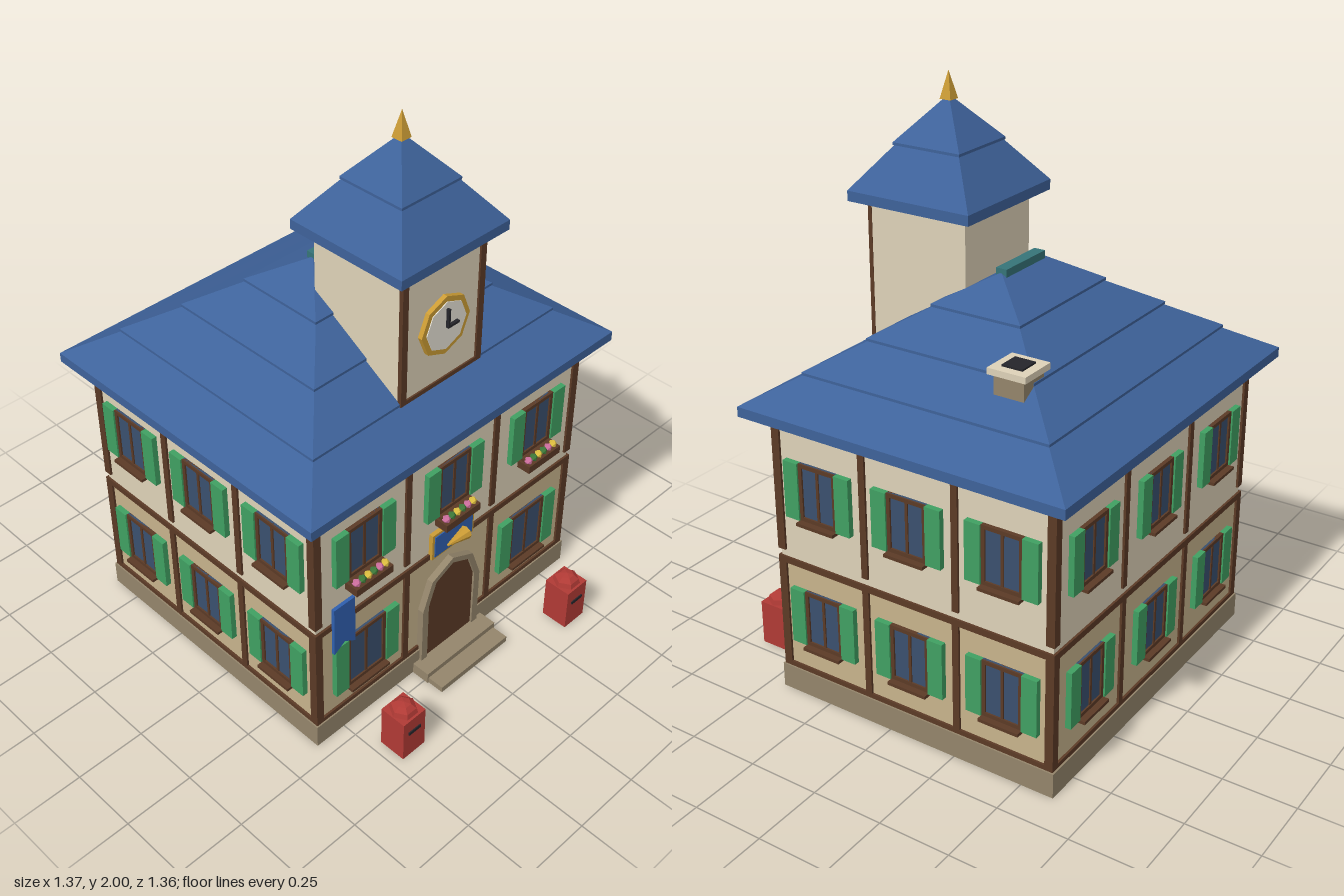
import * as THREE from 'three';

const mat = (color) => new THREE.MeshStandardMaterial({ color, flatShading: true });
const M = {
  upper: mat(0xded2b8), lower: mat(0xc7b38c), stone: mat(0x94856b), timber: mat(0x5b3a26),
  roof: mat(0x3e629a), ridge: mat(0x367478), green: mat(0x40a062), glass: mat(0x3a506e),
  gold: mat(0xcc9c35), white: mat(0xe6e2d6), dark: mat(0x25252a), red: mat(0xb03a35),
  blue: mat(0x2f5fae), pink: mat(0xd070a0), yellow: mat(0xe0c040), leaf: mat(0x3f7a3a),
};
M.stone.side = M.red.side = THREE.DoubleSide; // used for boxes open at the bottom
const CZ = -0.085; // depth centre of the house

function add(parent, name, geo, material, x = 0, y = 0, z = 0) {
  const mesh = new THREE.Mesh(geo, material);
  mesh.name = name;
  mesh.position.set(x, y, z);
  parent.add(mesh);
  return mesh;
}

function group(parent, name, x = 0, y = 0, z = 0) {
  const g = new THREE.Group();
  g.name = name;
  g.position.set(x, y, z);
  parent.add(g);
  return g;
}

// Box given by its [min, max] range on each axis
function box(parent, name, material, [x0, x1], [y0, y1], [z0, z1]) {
  return add(parent, name, new THREE.BoxGeometry(x1 - x0, y1 - y0, z1 - z0), material,
    (x0 + x1) / 2, (y0 + y1) / 2, (z0 + z1) / 2);
}

// Hollow box standing on the ground without a bottom face
function openBox(parent, name, material, x, height, z) {
  const { geometry } = box(parent, name, material, x, [0, height], z);
  geometry.setIndex(Array.from(geometry.index.array).filter((_, i) => i < 18 || i >= 24));
  geometry.clearGroups();
}

// One roof tier: an upright edge, then four slopes to a smaller top
function tier(parent, name, hx, hz, y0, edge, topX, topZ, y1) {
  box(parent, name + 'Edge', M.roof, [-hx, hx], [y0, y0 + edge], [-hz, hz]);
  const h = y1 - y0 - edge;
  const geo = new THREE.BoxGeometry(hx * 2, h, hz * 2);
  const p = geo.attributes.position;
  for (let i = 0; i < p.count; i++) {
    if (p.getY(i) > 0) p.setXYZ(i, Math.sign(p.getX(i)) * topX, h / 2, Math.sign(p.getZ(i)) * topZ);
  }
  geo.computeVertexNormals();
  add(parent, name + 'Slope', geo, M.roof, 0, y0 + edge + h / 2, 0);
}

// Shuttered window facing +z, with its origin at the centre of the opening
function makeWindow(parent, x, y, z, hw, hh) {
  const g = group(parent, 'window', x, y, z);
  const t = 0.013;
  box(g, 'glass', M.glass, [-hw, hw], [-hh, hh], [-0.005, 0.008]);
  for (const s of [-1, 1]) {
    const c = s * (hw - t / 2);
    box(g, 'frameSide', M.timber, [c - t / 2, c + t / 2], [-hh, hh], [0, 0.014]);
    const r = s * (hh - t / 2);
    box(g, 'frameRail', M.timber, [-hw, hw], [r - t / 2, r + t / 2], [0, 0.014]);
    const k = s * (hw + 0.028);
    box(g, 'shutter', M.green, [k - 0.028, k + 0.028], [-hh, hh], [0, 0.02]);
  }
  box(g, 'mullion', M.timber, [-0.005, 0.005], [-hh, hh], [0, 0.012]);
  box(g, 'sill', M.timber, [-hw, hw], [-hh - 0.011, -hh], [0, 0.036]);
}

// Timber framing and windows of one wall
function facade(parent, name, half, dist, angle, post, column, isFront) {
  const g = group(parent, name, 0, 0, CZ);
  g.rotation.y = angle;
  const z = [dist - 0.02, dist];
  for (const [y0, y1] of [[0.0885, 0.105], [0.483, 0.505], [0.982, 1.005]]) {
    box(g, 'beam', M.timber, [-half, half], [y0, y1], z);
  }
  for (const y of [[0.1, 0.49], [0.53, 0.99]]) {
    for (const s of [-1, 1]) {
      const c = s * (half - 0.015);
      box(g, 'cornerPost', M.timber, [c - 0.015, c + 0.015], y, z);
      box(g, 'post', M.timber, [s * post - 0.012, s * post + 0.012], y, z);
    }
  }
  for (const i of [-1, 0, 1]) {
    makeWindow(g, i * column, 0.766, dist - 0.008, 0.073, 0.1);
    if (!isFront) makeWindow(g, i * column, 0.302, dist - 0.008, 0.073, 0.1);
    else if (i) makeWindow(g, i * 0.395, 0.288, dist - 0.008, 0.086, 0.111);
  }
}

// Outline with a four-sided arched head and its foot at y = 0
function archShape(r, spring, rise) {
  const s = new THREE.Shape();
  s.moveTo(-r, 0);
  s.lineTo(r, 0);
  for (let i = 0; i <= 4; i++) {
    const a = (i * Math.PI) / 4;
    s.lineTo(Math.cos(a) * r, spring + Math.sin(a) * rise);
  }
  return s;
}

const extrude = (shape, depth) => new THREE.ExtrudeGeometry(shape, { depth, bevelEnabled: false });

export function createModel() {
  const model = new THREE.Group();
  model.name = 'townHall';

  // Hollow plinth and two storeys
  openBox(model, 'plinth', M.stone, [-0.62, 0.62], 0.088, [CZ - 0.531, CZ + 0.531]);
  box(model, 'lowerWalls', M.lower, [-0.607, 0.607], [0.0885, 0.5], [CZ - 0.518, CZ + 0.518]);
  box(model, 'upperWalls', M.upper, [-0.607, 0.607], [0.5, 1.02], [CZ - 0.518, CZ + 0.518]);
  facade(model, 'frontFacade', 0.615, 0.526, 0, 0.205, 0.405, true);
  facade(model, 'backFacade', 0.615, 0.526, Math.PI, 0.205, 0.405, false);
  facade(model, 'leftFacade', 0.526, 0.615, Math.PI / 2, 0.172, 0.345, false);
  facade(model, 'rightFacade', 0.526, 0.615, -Math.PI / 2, 0.172, 0.345, false);

  // Main hipped roof in four stepped tiers
  const roof = group(model, 'mainRoof', 0, 0, CZ);
  const hx = [0.685, 0.541, 0.397, 0.253, 0.11], hz = [0.595, 0.452, 0.308, 0.165, 0.01];
  for (let i = 0; i < 4; i++) {
    const top = 1.04 + 0.098 * i, edge = i ? 0.009 : 0.034;
    tier(roof, 'tier', hx[i], hz[i], top - edge, edge, hx[i + 1] - (i < 3 ? 0.006 : 0), hz[i + 1] - 0.006, top + 0.09);
  }
  box(roof, 'ridgeCap', M.ridge, [-0.11, 0.11], [1.405, 1.44], [-0.022, 0.018]);

  // Chimney
  const chimney = group(model, 'chimney', 0.395, 0, -0.338);
  box(chimney, 'stack', M.stone, [-0.053, 0.053], [1.1, 1.262], [-0.053, 0.053]);
  box(chimney, 'cap', M.upper, [-0.067, 0.067], [1.26, 1.281], [-0.067, 0.067]);
  box(chimney, 'flue', M.dark, [-0.036, 0.036], [1.27, 1.287], [-0.036, 0.036]);

  // Clock tower, framed on its front only
  const tower = group(model, 'clockTower', 0, 0, 0.182);
  box(tower, 'towerWalls', M.upper, [-0.179, 0.179], [1.1, 1.605], [-0.183, 0.183]);
  for (const s of [-1, 1]) {
    const c = s * 0.168;
    box(tower, 'towerPost', M.timber, [c - 0.012, c + 0.012], [1.13, 1.603], [0.175, 0.19]);
  }
  box(tower, 'towerTopBeam', M.timber, [-0.18, 0.18], [1.585, 1.603], [0.175, 0.189]);
  box(tower, 'towerFootBeam', M.timber, [-0.18, 0.18], [1.127, 1.142], [0.175, 0.189]);
  tier(tower, 'towerTier', 0.23, 0.23, 1.6, 0.034, 0.12, 0.12, 1.775);
  tier(tower, 'towerTier', 0.126, 0.126, 1.772, 0.009, 0.002, 0.002, 1.922);
  const finial = add(tower, 'finial', new THREE.ConeGeometry(0.029, 0.09, 4), M.gold, 0, 1.955, 0);
  finial.rotation.y = Math.PI / 4;

  // Clock
  const clock = group(tower, 'clock', 0, 1.35, 0.183);
  add(clock, 'clockRim', new THREE.CylinderGeometry(0.106, 0.106, 0.016, 8), M.gold, 0, 0, 0.008).rotation.x = Math.PI / 2;
  add(clock, 'clockFace', new THREE.CylinderGeometry(0.087, 0.087, 0.018, 8), M.white, 0, 0, 0.01).rotation.x = Math.PI / 2;
  box(clock, 'minuteHand', M.dark, [-0.004, 0.004], [-0.004, 0.064], [0.018, 0.03]);
  box(clock, 'hourHand', M.dark, [-0.004, 0.045], [-0.004, 0.004], [0.018, 0.03]);

  // Arched door with stone surround and hollow steps
  const door = group(model, 'doorway', 0, 0, 0.425);
  const surround = archShape(0.14, 0.275, 0.16);
  surround.holes.push(archShape(0.113, 0.285, 0.128));
  add(door, 'doorSurround', extrude(surround, 0.032), M.stone);
  add(door, 'door', extrude(archShape(0.114, 0.286, 0.128), 0.024), M.timber);
  openBox(model, 'lowerStep', M.stone, [-0.165, 0.165], 0.022, [0.515, 0.577]);
  openBox(model, 'upperStep', M.stone, [-0.17, 0.17], 0.042, [0.447, 0.515]);

  // Sign with a horn
  const sign = group(model, 'sign', 0, 0.54, 0.435);
  box(sign, 'signFrame', M.gold, [-0.1, 0.1], [-0.053, 0.053], [0, 0.016]);
  box(sign, 'signPanel', M.blue, [-0.09, 0.09], [-0.043, 0.043], [0, 0.02]);
  const horn = add(sign, 'horn', new THREE.CylinderGeometry(0.004, 0.024, 0.09, 8), M.gold, -0.006, -0.002, 0.038);
  horn.rotation.z = Math.PI / 2;

  // Swallow-tailed banner
  const flag = new THREE.Shape([[-0.045, 0], [-0.045, -0.195], [0, -0.165], [0.045, -0.195], [0.045, 0]]
    .map(([x, y]) => new THREE.Vector2(x, y)));
  add(model, 'banner', extrude(flag, 0.012), M.blue, -0.52, 0.609, 0.462);

  // Flower boxes under the upper front windows
  for (const i of [-1, 0, 1]) {
    const planter = group(model, 'flowerBox', i * 0.405, 0.64, 0.472);
    box(planter, 'planter', M.timber, [-0.08, 0.08], [-0.015, 0.014], [-0.032, 0.02]);
    [M.pink, M.leaf, M.yellow, M.leaf, M.pink, M.yellow].forEach((m, k) => {
      add(planter, 'flower', new THREE.IcosahedronGeometry(0.015, 0), m, (k - 2.5) * 0.025, 0.021, 0);
    });
  }

  // Two red post boxes
  for (const s of [-1, 1]) {
    const post = group(model, 'postBox', s * 0.411, 0, 0.63);
    openBox(post, 'postBody', M.red, [-0.05, 0.05], 0.163, [-0.05, 0.05]);
    const dome = add(post, 'postDome', new THREE.SphereGeometry(0.049, 6, 3, 0, Math.PI * 2, 0, Math.PI / 2), M.red, 0, 0.161, 0);
    dome.scale.y = 0.8;
    box(post, 'postSlot', M.dark, [-0.027, 0.027], [0.1, 0.112], [0.04, 0.054]);
  }
  return model;
}
